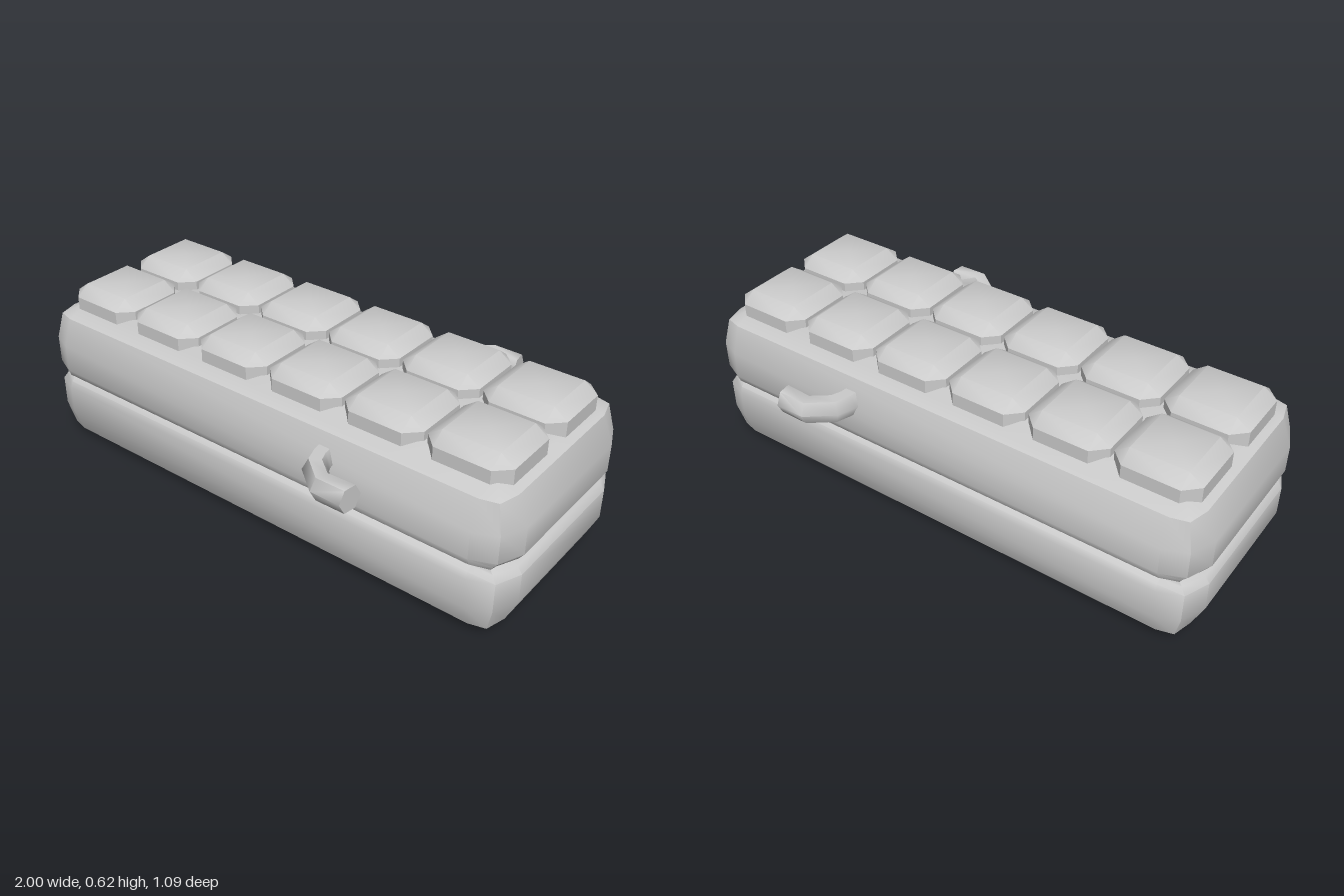
import * as THREE from 'three';
import { toCreasedNormals } from 'three/addons/utils/BufferGeometryUtils.js';

const material = new THREE.MeshStandardMaterial({ color: 0xcccccc });
const V = (x, y, z) => new THREE.Vector3(x, y, z);

// Skins a stack of closed rings with equal point counts and caps both ends.
function loft(rings, crease = 0.65) {
  const tris = [];
  const n = rings[0].length;
  const add = (a, b, c) => {
    const area = b.clone().sub(a).cross(c.clone().sub(a)).length();
    if (area > 1e-7) tris.push([a, b, c]);
  };
  for (let r = 0; r < rings.length - 1; r++) {
    for (let i = 0; i < n; i++) {
      const j = (i + 1) % n;
      const [p, q] = [rings[r], rings[r + 1]];
      add(p[i], q[i], q[j]);
      add(p[i], q[j], p[j]);
    }
  }
  const cap = (ring, flip) => {
    const c = V(0, 0, 0);
    ring.forEach((p) => c.addScaledVector(p, 1 / n));
    ring.forEach((p, i) => {
      const q = ring[(i + 1) % n];
      if (flip) add(c, q, p); else add(c, p, q);
    });
  };
  cap(rings[0], false);
  cap(rings[rings.length - 1], true);
  // Turn the faces outward whichever way the rings run
  let volume = 0;
  for (const [a, b, c] of tris) volume += a.dot(b.clone().cross(c));
  const points = tris.flatMap(([a, b, c]) => (volume < 0 ? [a, c, b] : [a, b, c]));
  const geometry = new THREE.BufferGeometry().setFromPoints(points);
  geometry.computeVertexNormals();
  return toCreasedNormals(geometry, crease);
}

// Mirrors the points of one corner [x, z] into a full closed ring at height y.
function cornerRing(y, corner) {
  const back = [...corner].reverse();
  return [
    ...corner.map(([x, z]) => V(x, y, z)),
    ...back.map(([x, z]) => V(-x, y, z)),
    ...corner.map(([x, z]) => V(-x, y, -z)),
    ...back.map(([x, z]) => V(x, y, -z)),
  ];
}

// Horizontal slice of the body: half length x, half depth z, rounded corner
function bodyRing([y, x, z]) {
  const cx = 0.88, cz = 0.27;
  const k = x > 0.97 ? 0.68 : 0.75;
  const corner = [
    [x, cz],
    [x > 0.97 ? x - 0.038 : cx + (x - cx) * k, z > 0.38 ? z - 0.035 : cz + (z - cz) * 0.82],
    [cx, z],
  ];
  return cornerRing(y, corner);
}

export function createModel() {
  const group = new THREE.Group();
  const addMesh = (name, geometry, x = 0, y = 0, z = 0) => {
    const mesh = new THREE.Mesh(geometry, material);
    mesh.name = name;
    mesh.position.set(x, y, z);
    group.add(mesh);
  };

  // Two body halves [y, half x, half z], meeting in a groove
  const lower = [
    [0, 0.88, 0.27], [0.04, 0.96, 0.36], [0.13, 1, 0.395],
    [0.24, 1, 0.395], [0.265, 0.983, 0.387], [0.28, 0.955, 0.37],
  ];
  const upper = [
    [0.28, 0.955, 0.37], [0.294, 0.983, 0.387], [0.318, 1, 0.395],
    [0.42, 1, 0.395], [0.52, 0.96, 0.36], [0.555, 0.88, 0.27],
  ];
  addMesh('lowerBody', loft(lower.map(bodyRing)));
  addMesh('upperBody', loft(upper.map(bodyRing)));

  // Two rows of six chamfered pads on top
  const padCorner = [[0.15, 0.1], [0.1, 0.15]];
  const padGeometry = loft([
    cornerRing(0.53, padCorner),
    cornerRing(0.588, padCorner),
    cornerRing(0.625, [[0.1, 0.1], [0.1, 0.1]]),
  ]);
  for (let row = 0; row < 2; row++) {
    for (let i = 0; i < 6; i++) {
      addMesh(`pad${row * 6 + i + 1}`, padGeometry, -0.783 + i * 0.313, 0, row ? 0.157 : -0.16);
    }
  }

  // Bent six-sided hooks on both long sides: outer x, z and inner x, z per ring
  const hookPath = [
    [0.285, 0.36, 0.37, 0.36],
    [0.29, 0.4, 0.375, 0.4],
    [0.312, 0.468, 0.386, 0.425],
    [0.405, 0.544, 0.432, 0.46],
    [0.518, 0.545, 0.53, 0.453],
  ];
  for (const side of [1, -1]) {
    const rings = hookPath.map(([ox, oz, ix, iz]) =>
      Array.from({ length: 6 }, (_, i) => {
        const a = (i * Math.PI) / 3;
        const t = (1 - Math.cos(a)) / 2;
        return V(ox + (ix - ox) * t, 0.432 + 0.049 * Math.sin(a), side * (oz + (iz - oz) * t));
      }));
    addMesh(side > 0 ? 'frontHook' : 'backHook', loft(rings, 1.1));
  }
  return group;
}
